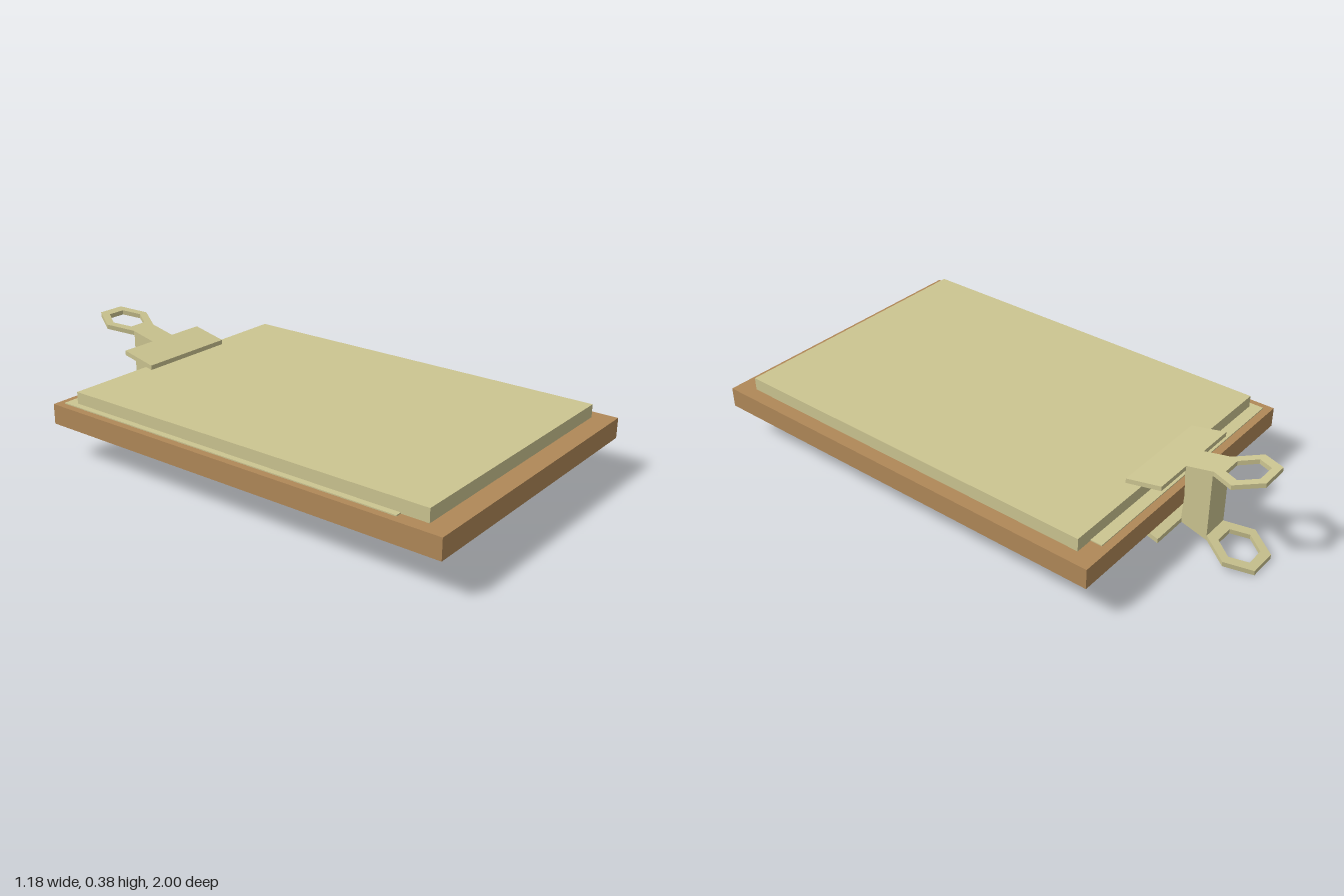
import * as THREE from 'three';

const material = (color) => new THREE.MeshStandardMaterial({ color, flatShading: true });

// Box given by its limits along each axis
function slab(name, [x0, x1], [y0, y1], [z0, z1], mat) {
  const mesh = new THREE.Mesh(new THREE.BoxGeometry(x1 - x0, y1 - y0, z1 - z0), mat);
  mesh.position.set((x0 + x1) / 2, (y0 + y1) / 2, (z0 + z1) / 2);
  mesh.name = name;
  return mesh;
}

// Clip jaw: wide lip, narrow neck and hexagonal ring, sloping away from the lip
function clipJaw(name, lipY, thickness, slope, mat) {
  const half = [[0.203, 0.565], [0.203, 0.705], [0.055, 0.705], [0.055, 0.81], [0.11, 0.905], [0.055, 1]];
  const mirrored = half.map(([x, v]) => [-x, v]).reverse();
  const shape = new THREE.Shape([...half, ...mirrored].map(([x, v]) => new THREE.Vector2(x, v)));
  const hole = [];
  for (let i = 0; i < 6; i++) {
    const a = -i * Math.PI / 3;
    hole.push(new THREE.Vector2(0.074 * Math.cos(a), 0.906 + 0.072 * Math.sin(a)));
  }
  shape.holes.push(new THREE.Path(hole));

  const geo = new THREE.ExtrudeGeometry(shape, { depth: thickness, bevelEnabled: false });
  geo.rotateX(-Math.PI / 2);
  const p = geo.attributes.position;
  for (let i = 0; i < p.count; i++) {
    p.setY(i, p.getY(i) + lipY + slope * (-p.getZ(i) - 0.565));
  }
  geo.computeVertexNormals();
  const mesh = new THREE.Mesh(geo, mat);
  mesh.name = name;
  return mesh;
}

// Post joining the jaws, its ends cut to their slopes
function clipPost(mat) {
  const profile = [[0.702, 0.092], [0.807, 0.062], [0.807, 0.332], [0.702, 0.309], [0.708, 0.2]];
  const shape = new THREE.Shape(profile.map(([v, y]) => new THREE.Vector2(v, y)));
  const geo = new THREE.ExtrudeGeometry(shape, { depth: 0.11, bevelEnabled: false });
  geo.translate(0, 0, -0.055);
  geo.rotateY(Math.PI / 2);
  const mesh = new THREE.Mesh(geo, mat);
  mesh.name = 'clipPost';
  return mesh;
}

export function createModel() {
  const wood = material(0xb08858);
  const paper = material(0xccc591);
  const metal = material(0xccc591);

  const model = new THREE.Group();
  model.name = 'clipboard';

  // Board and the papers lying on it
  model.add(
    slab('board', [-0.588, 0.588], [0.137, 0.215], [-0.69, 1], wood),
    slab('looseSheet', [-0.56, 0.466], [0.2, 0.219], [-0.66, 0.82], paper),
    slab('paperStack', [-0.536, 0.534], [0.215, 0.265], [-0.615, 0.922], paper),
  );

  // Clip
  const clip = new THREE.Group();
  clip.name = 'clip';
  clip.add(
    clipJaw('upperJaw', 0.269, 0.018, 0.223, metal),
    clipJaw('lowerJaw', 0.12, 0.018, -0.275, metal),
    clipPost(metal),
  );
  model.add(clip);
  return model;
}
